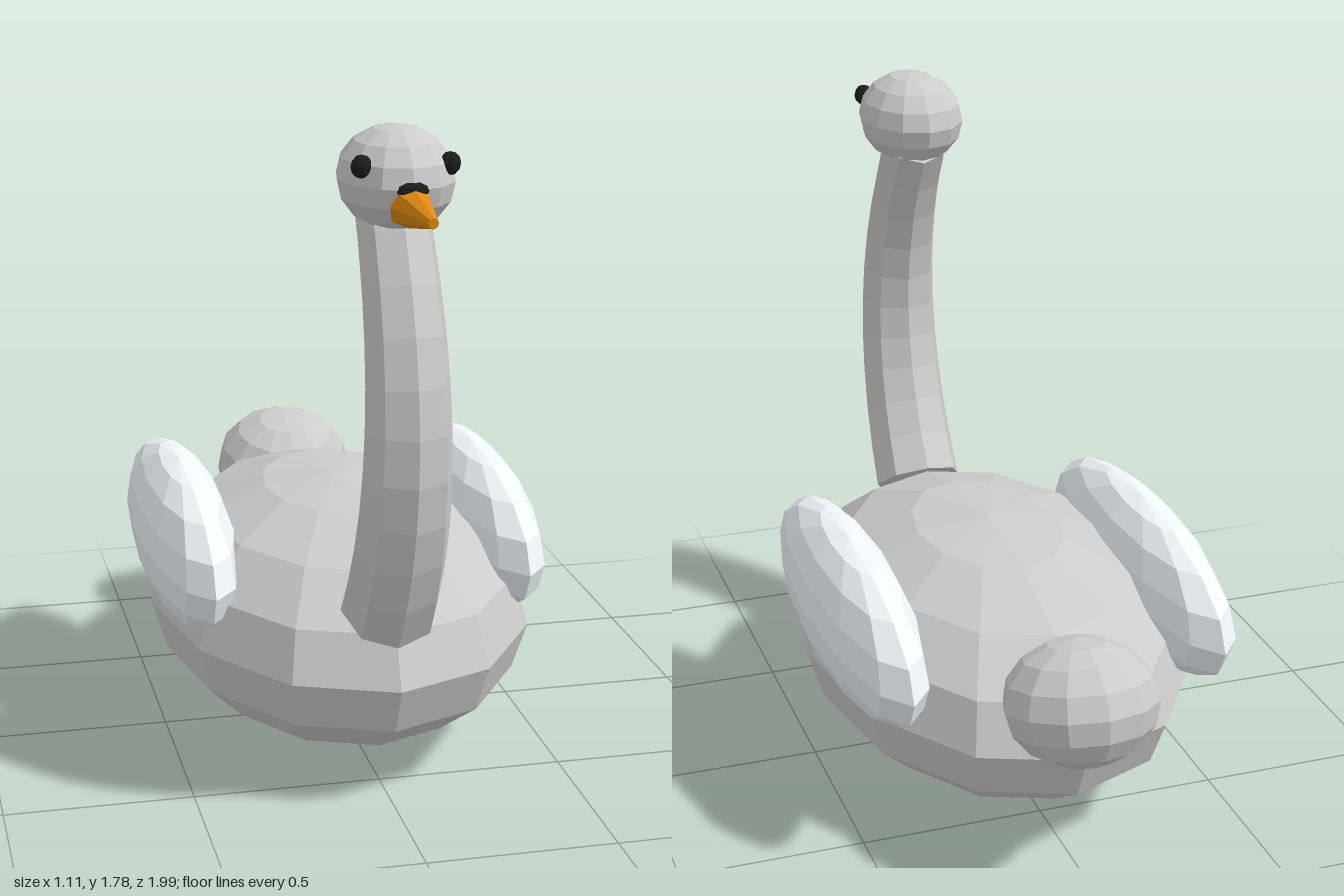
import * as THREE from 'three';

const material = (color) => new THREE.MeshStandardMaterial({ color, flatShading: true });
const grey = material(0xcccccc);
const pale = material(0xeff5f8);
const black = material(0x1c1c1c);
const orange = material(0xe08a10);

// Faceted ellipsoid
function ellipsoid(name, mat, pos, radii, tilt = 0, wide = 12, high = 8) {
  const geo = new THREE.SphereGeometry(1, wide, high);
  geo.scale(...radii);
  const mesh = new THREE.Mesh(geo, mat);
  mesh.name = name;
  mesh.position.set(...pos);
  mesh.rotation.x = tilt;
  return mesh;
}

// Tapered octagonal column bent along a curve in the x = 0 plane
function bentNeck() {
  const curve = new THREE.QuadraticBezierCurve3(
    new THREE.Vector3(0, 0.535, 0.6),
    new THREE.Vector3(0, 1.05, 0.985),
    new THREE.Vector3(0, 1.61, 0.58)
  );
  const geo = new THREE.CylinderGeometry(0.093, 0.128, 1, 8, 10);
  const p = geo.attributes.position;
  for (let i = 0; i < p.count; i++) {
    const t = THREE.MathUtils.clamp(p.getY(i) + 0.5, 0, 1);
    const c = curve.getPoint(t);
    const d = curve.getTangent(t);
    const r = p.getZ(i);
    p.setXYZ(i, p.getX(i), c.y - d.z * r, c.z + d.y * r);
  }
  geo.computeVertexNormals();
  const mesh = new THREE.Mesh(geo, grey);
  mesh.name = 'neck';
  return mesh;
}

export function createModel() {
  const bird = new THREE.Group();
  bird.name = 'waterBird';

  // Body, tail, neck and head
  bird.add(
    ellipsoid('body', grey, [0, 0.352, -0.05], [0.525, 0.347, 0.79]),
    ellipsoid('tail', grey, [0, 0.5, -0.79], [0.205, 0.168, 0.208], 0.24),
    bentNeck(),
    ellipsoid('head', grey, [0, 1.66, 0.635], [0.146, 0.13, 0.19])
  );

  // Wings and eyes, mirrored
  for (const [side, s] of [['left', 1], ['right', -1]]) {
    bird.add(
      ellipsoid(side + 'Wing', pale, [s * 0.425, 0.53, -0.14], [0.13, 0.21, 0.595]),
      ellipsoid(side + 'Eye', black, [s * 0.109, 1.707, 0.74], [0.027, 0.029, 0.027], 0, 8, 6)
    );
  }

  // Beak: blunt cone pointing forward, with a dark knob above its base
  const beak = new THREE.Mesh(new THREE.CylinderGeometry(0.013, 0.057, 0.23, 8), orange);
  beak.name = 'beak';
  beak.rotation.x = Math.PI / 2;
  beak.position.set(0, 1.616, 0.885);
  bird.add(beak, ellipsoid('beakKnob', black, [0, 1.656, 0.81], [0.04, 0.024, 0.024], 0, 8, 6));

  return bird;
}
